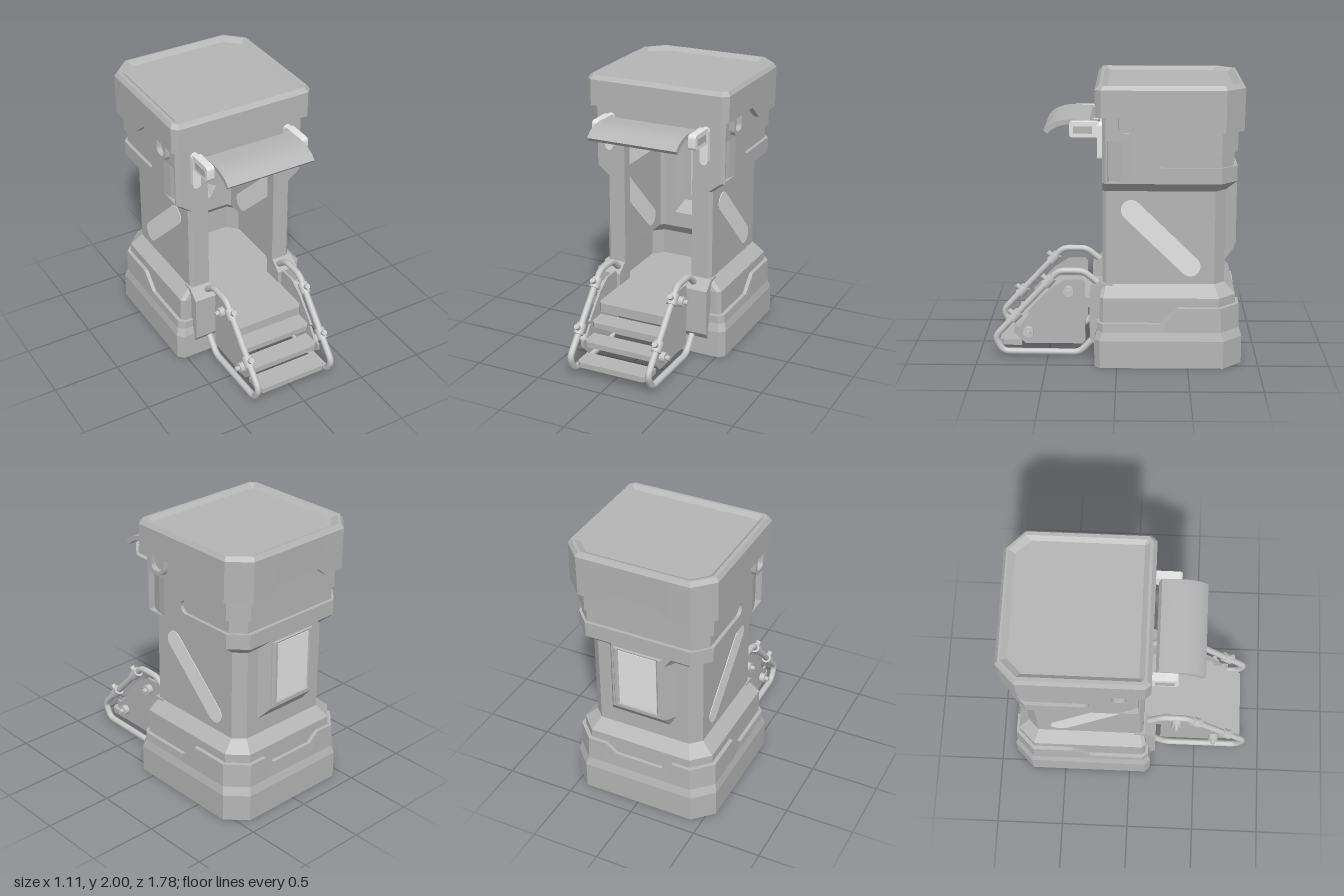
import * as THREE from 'three';
import { toCreasedNormals } from 'three/addons/utils/BufferGeometryUtils.js';

const mat = (name, color) => Object.assign(new THREE.MeshStandardMaterial({ color }), { name });

// Flat-shaded skin through closed loops, counter-clockwise seen from above
function loft(loops, bottom, top) {
  const pos = [];
  const tri = (...t) => {
    const [a, b, c] = t.map((p) => new THREE.Vector3(...p));
    if (b.clone().sub(a).cross(c.clone().sub(a)).length() > 1e-7) t.forEach((p) => pos.push(...p));
  };
  for (let s = 0; s < loops.length - 1; s++) {
    const A = loops[s], B = loops[s + 1];
    A.forEach((p, i) => {
      const j = (i + 1) % A.length;
      tri(p, A[j], B[j]);
      tri(p, B[j], B[i]);
    });
  }
  const first = loops[0], last = loops[loops.length - 1];
  for (let i = 1; i < first.length - 1; i++) {
    if (bottom) tri(first[0], first[i + 1], first[i]);
    if (top) tri(last[0], last[i], last[i + 1]);
  }
  const g = new THREE.BufferGeometry();
  g.setAttribute('position', new THREE.Float32BufferAttribute(pos, 3));
  g.computeVertexNormals();
  return g;
}

// Completes a right-hand half (front to back) with its mirror image
const flip = (half) => half.slice().reverse().map(([x, y, z]) => [-x, y, z]);
const mirror = (half) => [...half, ...flip(half)];
const octagon = (y, w, f, b, cf, cb) =>
  mirror([[w - cf, y, f], [w, y, f - cf], [w, y, b + cb], [w - cb, y, b]]);

// Outline whose height steps along the side and across the back
const stepped = (w, f, b, cf, cb, y0, y1, y2) => mirror([
  [w - cf, y0, f], [w, y0, f - cf], [w, y0, -0.3], [w, y1, -0.43], [w, y1, b + cb],
  [w - cb, y1, b], [0.26, y1, b], [0.18, y2, b]]);

// C-shaped wall section, open at the door; n = scoop depth, g = groove depth, q = rear bay
function wall(y, w, f, b, cb, n = 0, g = 0, q = b) {
  const t = 0.05, cf = 0.025, h = 0.27;
  const outer = [[h, f], [w - cf, f], [w, f - cf], [w, 0.062], [w - n, 0.058], [w - n * 0.3, -0.03], [w, -0.1],
    [w, -0.27], [w - g, -0.27], [w - g, b + cb], [w - cb, b + g], [0.25, b + g], [0.2, q + g]]
    .map(([x, z]) => [x, y, z]);
  const inner = [[0.2, q + t + g], [0.25, b + t + g], [w - cb, b + t + g], [w - t - g, b + cb],
    [w - t, f - 0.08], [h, f - 0.08]].map(([x, z]) => [x, y, z]);
  return [...mirror(outer), ...flip(inner), ...inner];
}

const poly = (pts) => new THREE.Shape(pts.map((p) => new THREE.Vector2(...p)));

// Extrudes a (z, y) shape along x from x0 to x1
function sideExtrude(shape, x0, x1) {
  const g = new THREE.ExtrudeGeometry(shape, { depth: x1 - x0, bevelEnabled: false, curveSegments: 10 });
  return toCreasedNormals(g.rotateY(-Math.PI / 2).translate(x1, 0, 0), 0.4);
}

// Pill shape between two points
function capsule(ax, ay, bx, by, r) {
  const a = Math.atan2(by - ay, bx - ax), s = new THREE.Shape();
  s.absarc(bx, by, r, a - Math.PI / 2, a + Math.PI / 2, false);
  s.absarc(ax, ay, r, a + Math.PI / 2, a + Math.PI * 1.5, false);
  s.closePath();
  return s;
}

// Rectangle with round corners
function roundRect(x0, x1, y0, y1, r) {
  const s = new THREE.Shape(), q = Math.PI / 2;
  s.absarc(x1 - r, y0 + r, r, -q, 0, false);
  s.absarc(x1 - r, y1 - r, r, 0, q, false);
  s.absarc(x0 + r, y1 - r, r, q, 2 * q, false);
  s.absarc(x0 + r, y0 + r, r, 2 * q, 3 * q, false);
  s.closePath();
  return s;
}

// Straight path with rounded bends
function bentPath(pts, r) {
  const path = new THREE.CurvePath();
  let from = pts[0];
  for (let i = 1; i < pts.length - 1; i++) {
    const p = pts[i];
    const a = p.clone().add(pts[i - 1].clone().sub(p).setLength(r));
    const b = p.clone().add(pts[i + 1].clone().sub(p).setLength(r));
    path.add(new THREE.LineCurve3(from, a));
    path.add(new THREE.QuadraticBezierCurve3(a, p, b));
    from = b;
  }
  path.add(new THREE.LineCurve3(from, pts[pts.length - 1]));
  return path;
}

export function createModel() {
  const root = new THREE.Group();
  root.name = 'booth';
  const body = mat('body grey', 0xb5b5b5);
  const light = mat('pale panel', 0xe4e4e4);
  const metal = mat('rail metal', 0xc6c6c6);
  const add = (name, geo, m = body) => {
    const mesh = new THREE.Mesh(geo, m);
    mesh.name = name;
    root.add(mesh);
  };
  const box = (name, x0, x1, y0, y1, z0, z1, m) =>
    add(name, new THREE.BoxGeometry(x1 - x0, y1 - y0, z1 - z0)
      .translate((x0 + x1) / 2, (y0 + y1) / 2, (z0 + z1) / 2), m);

  // Base with stepped armour skirt
  const flat = (y, w, f, b, cf, cb) => stepped(w, f, b, cf, cb, y, y, y);
  add('base', loft([flat(0, 0.556, 0.158, -0.885, 0.04, 0.135), flat(0.2, 0.556, 0.158, -0.885, 0.04, 0.135),
    flat(0.26, 0.54, 0.14, -0.867, 0.04, 0.135),
    stepped(0.535, 0.14, -0.862, 0.04, 0.135, 0.32, 0.435, 0.37),
    stepped(0.48, 0.1, -0.81, 0.04, 0.12, 0.325, 0.44, 0.375)], true, false));

  // Hollow body: lower flare, waist with rear bay, upper head with scoop and groove
  const waist = (y, q) => wall(y, 0.42, 0.1, -0.76, 0.075, 0, 0, q);
  const head = (y, n, g) => wall(y, 0.51, 0.1, -0.835, 0.115, n, g);
  add('walls', loft([
    wall(0.25, 0.51, 0.12, -0.84, 0.12), wall(0.5, 0.507, 0.12, -0.837, 0.12),
    waist(0.58), waist(0.7), waist(0.79, -0.835), waist(1.25, -0.835),
    head(1.32), head(1.33), head(1.33, 0.045), head(1.43, 0.045), head(1.43, 0.045, 0.025),
    head(1.53, 0.045, 0.025), head(1.53, 0.045), head(1.62, 0.045), head(1.62), head(1.8)]));
  const slab = (name, y0, y1) => add(name, loft([y0, y1].map((y) =>
    octagon(y, 0.48, 0.09, -0.81, 0.03, 0.12)), true, true));
  slab('floor', 0.27, 0.3);
  slab('ceiling', 1.775, 1.8);
  box('lintel', -0.275, 0.275, 1.62, 1.8, 0.02, 0.1);

  // Roof cap with stepped lower edge and sunken top
  add('roof', loft([
    stepped(0.49, 0.08, -0.81, 0.04, 0.12, 1.78, 1.675, 1.74),
    stepped(0.55, 0.148, -0.875, 0.04, 0.135, 1.78, 1.675, 1.74),
    flat(1.97, 0.55, 0.148, -0.88, 0.04, 0.135), flat(2, 0.53, 0.12, -0.86, 0.03, 0.125),
    flat(2, 0.505, 0.1, -0.845, 0.02, 0.11), flat(1.975, 0.475, 0.065, -0.8, 0.005, 0.1)], false, true));

  // Rear window with a raised rim outside and a plain frame inside
  const rect = (d, x, y0, y1) => [[-x, d, y1], [x, d, y1], [x, d, y0], [-x, d, y0]];
  add('rearWindowRim', loft([rect(0.83, 0.19, 0.8, 1.305), rect(0.85, 0.175, 0.815, 1.3),
    rect(0.85, 0.155, 0.83, 1.295), rect(0.84, 0.145, 0.84, 1.285)], false, true).rotateX(-Math.PI / 2));
  box('rearWindow', -0.143, 0.143, 0.842, 1.283, -0.845, -0.838, light);
  box('innerWindowFrame', -0.157, 0.157, 0.825, 1.305, -0.8, -0.77);
  box('innerWindow', -0.138, 0.138, 0.845, 1.293, -0.772, -0.764, light);

  // Doorstep block
  const post = [[0.03, 0.13], [0.155, 0.13], [0.192, 0.18], [0.192, 0.52], [0.11, 0.585], [0.03, 0.585]];
  const sill = [[0.03, 0.13], [0.155, 0.13], [0.192, 0.18], [0.192, 0.43], [0.03, 0.43]];
  add('sill', sideExtrude(poly(sill), -0.27, 0.27));

  // Landing and treads with clipped front corners
  const tread = (name, z0, z1, y0, y1) => add(name, new THREE.ExtrudeGeometry(
    poly([[-0.275, -z0], [-0.275, -z1 + 0.03], [-0.25, -z1], [0.25, -z1], [0.275, -z1 + 0.03], [0.275, -z0]]),
    { depth: y1 - y0, bevelEnabled: false }).rotateX(-Math.PI / 2).translate(0, y0, 0));
  tread('landing', 0.19, 0.52, 0.36, 0.43);
  [[0.48, 0.63, 0.285], [0.59, 0.74, 0.18], [0.69, 0.85, 0.07]].forEach(([a, b, y]) => tread('tread', a, b, y, y + 0.04));

  // Awning
  const hood = new THREE.Shape();
  hood.moveTo(0.17, 1.7);
  hood.lineTo(0.19, 1.73);
  hood.lineTo(0.32, 1.738);
  hood.quadraticCurveTo(0.45, 1.735, 0.51, 1.665);
  hood.lineTo(0.485, 1.638);
  hood.quadraticCurveTo(0.43, 1.7, 0.32, 1.705);
  hood.closePath();
  add('awning', sideExtrude(hood, -0.34, 0.34));

  // Paired parts
  const stringer = [[0.23, 0.11], [0.25, 0.09], [0.66, 0.09], [0.745, 0.17], [0.745, 0.22], [0.7, 0.22],
    [0.63, 0.31], [0.64, 0.33], [0.48, 0.5], [0.4, 0.55], [0.37, 0.57], [0.25, 0.57], [0.23, 0.55]];
  const railPts = [[0.12, 0.54], [0.24, 0.64], [0.42, 0.64], [0.882, 0.145], [0.825, 0.035], [0.27, 0.03], [0.13, 0.18]];
  const pane = capsule(-0.1, 1.115, -0.515, 0.71, 0.072);
  const hook = roundRect(-0.14, 0.01, 1.65, 1.85, 0.055);
  hook.holes.push(roundRect(-0.115, -0.015, 1.675, 1.84, 0.04));
  const grooveEnd = new THREE.Shape();
  grooveEnd.moveTo(-0.32, 1.53);
  grooveEnd.absarc(-0.32, 1.48, 0.05, Math.PI / 2, -Math.PI / 2, true);
  grooveEnd.lineTo(-0.265, 1.43);
  grooveEnd.lineTo(-0.265, 1.53);
  grooveEnd.closePath();
  const arm = roundRect(0.12, 0.33, 1.622, 1.732, 0.025);

  for (const s of [1, -1]) {
    const both = (name, shape, a, b, m) =>
      add(name, sideExtrude(shape, Math.min(s * a, s * b), Math.max(s * a, s * b)), m);
    both('doorstepPost', poly(post), 0.27, 0.432);
    both('sideWindow', pane, 0.418, 0.424, light);
    both('sideWindowInside', pane, 0.364, 0.371, light);
    both('grooveEnd', grooveEnd, 0.48, 0.51);
    both('hook', hook, 0.5, 0.547);
    both('awningArm', arm, 0.342, 0.4, light);
    both('awningArmInset', poly([[0.17, 1.65], [0.3, 1.65], [0.3, 1.7], [0.17, 1.7]]), 0.399, 0.404);
    add('awningBracket', new THREE.ExtrudeGeometry(capsule(s * 0.373, 1.49, s * 0.373, 1.7, 0.031),
      { depth: 0.04, bevelEnabled: false }).translate(0, 0, 0.098), light);
    both('stringer', poly(stringer), 0.275, 0.292);

    // Handrail with clamps
    const path = bentPath(railPts.map(([z, y]) => new THREE.Vector3(s * 0.308, y, z)), 0.045);
    add('handrail', new THREE.TubeGeometry(path, 90, 0.024, 10), metal);
    const slope = Math.atan2(0.45, -0.49);
    for (const [z, y] of [[0.487, 0.565], [0.73, 0.305]]) {
      add('clamp', new THREE.CylinderGeometry(0.037, 0.037, 0.08, 14).rotateX(slope).translate(s * 0.308, y, z), metal);
      add('clampKnob', new THREE.CylinderGeometry(0.02, 0.02, 0.05, 10).rotateX(slope + Math.PI / 2)
        .translate(s * 0.308, y + 0.025, z + 0.03), metal);
    }
    for (const [z, y] of [[0.348, 0.488], [0.64, 0.183]]) {
      add('bolt', new THREE.CylinderGeometry(0.037, 0.037, 0.04, 16).rotateZ(Math.PI / 2).translate(s * 0.31, y, z), metal);
      add('boltPin', new THREE.CylinderGeometry(0.018, 0.018, 0.07, 12).rotateZ(Math.PI / 2).translate(s * 0.325, y, z), metal);
    }
  }
  return root;
}
